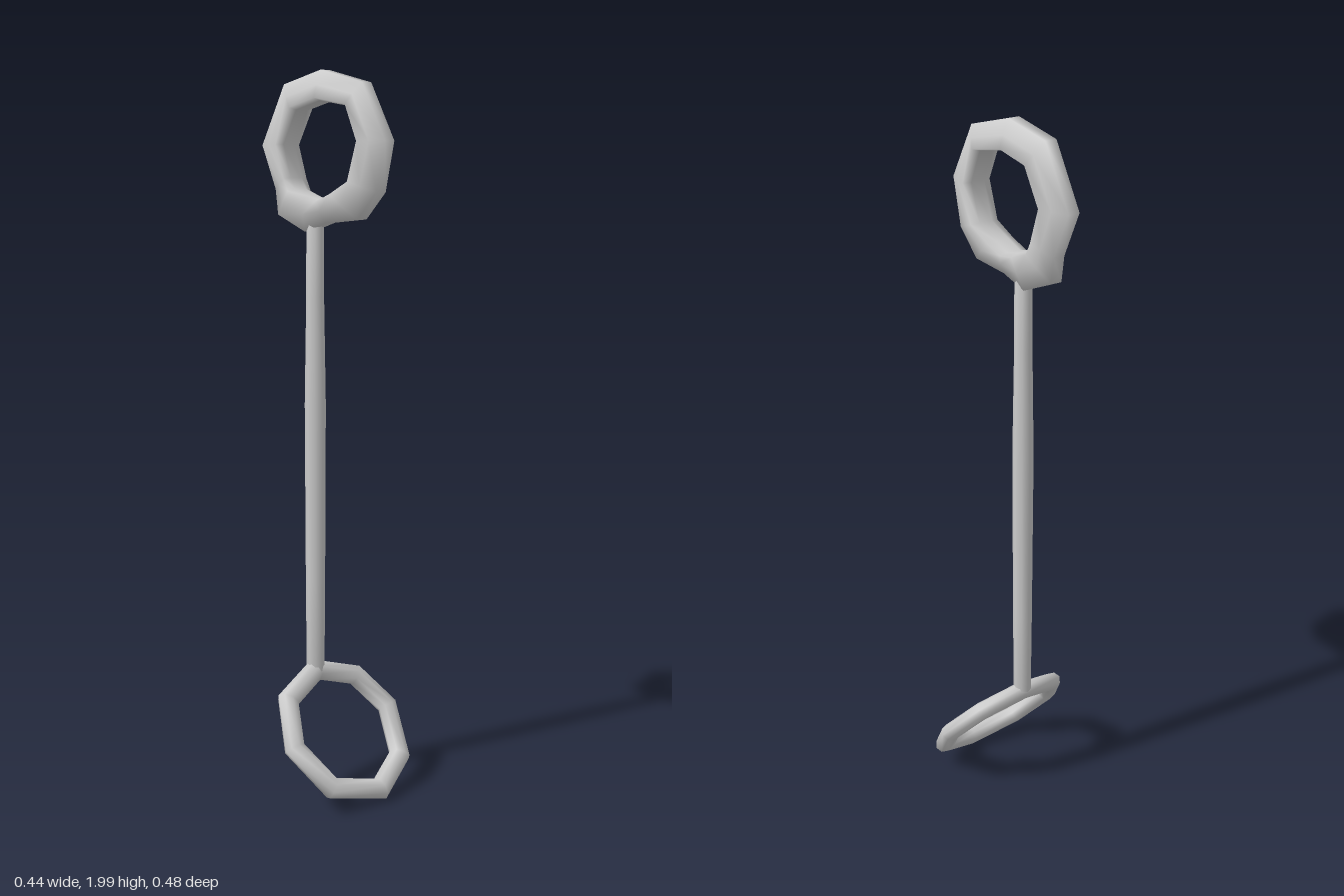
import * as THREE from 'three';

const material = new THREE.MeshStandardMaterial({ color: 0xcccccc });

// Closed band in the XY plane: pairs of outer and inner points (counter-clockwise)
// joined by a section of [share of the way inward, offset along z].
function ringGeometry(outer, inner, section) {
  const n = outer.length, m = section.length, pos = [], index = [];
  for (let i = 0; i < n; i++) {
    for (const [t, w] of section) {
      pos.push(
        THREE.MathUtils.lerp(outer[i][0], inner[i][0], t),
        THREE.MathUtils.lerp(outer[i][1], inner[i][1], t), w);
    }
  }
  for (let i = 0; i < n; i++) {
    for (let j = 0; j < m; j++) {
      const i2 = (i + 1) % n, j2 = (j + 1) % m;
      const a = i * m + j, b = i2 * m + j, c = i2 * m + j2, d = i * m + j2;
      index.push(a, b, c, a, c, d);
    }
  }
  const g = new THREE.BufferGeometry();
  g.setAttribute('position', new THREE.Float32BufferAttribute(pos, 3));
  g.setIndex(index);
  g.computeVertexNormals();
  return g;
}

function addMesh(group, name, geometry) {
  const mesh = new THREE.Mesh(geometry, material);
  mesh.name = name;
  group.add(mesh);
  return mesh;
}

export function createModel() {
  const group = new THREE.Group();
  group.name = 'ringedRod';

  // Upright ring at the top: uneven outline, wide inside and narrow at the rim
  const outer = [[0.24, 1.81], [0.155, 1.96], [0, 2], [-0.148, 1.97], [-0.24, 1.81], [-0.185, 1.69],
    [-0.175, 1.62], [-0.065, 1.575], [0.02, 1.6], [0.14, 1.61], [0.21, 1.68]];
  const inner = [[0.154, 1.81], [0.115, 1.9], [0, 1.92], [-0.095, 1.9], [-0.147, 1.81], [-0.118, 1.72],
    [-0.1, 1.69], [-0.045, 1.67], [0.0, 1.66], [0.05, 1.68], [0.12, 1.71]];
  const trapezoid = [[0, -0.017], [0, 0.017], [0.5, 0.034], [0.92, 0.043], [1, 0.02],
    [1, -0.02], [0.92, -0.043], [0.5, -0.034]];
  addMesh(group, 'topRing', ringGeometry(outer, inner, trapezoid)).rotation.y = -Math.PI / 2;

  // Slim shaft, slightly thicker at mid height
  const profile = [[0, 0.33], [0.027, 0.33], [0.029, 0.6], [0.031, 1.1], [0.026, 1.4], [0.025, 1.63], [0, 1.63]]
    .map(([r, y]) => new THREE.Vector2(r, y));
  const shaft = addMesh(group, 'shaft', new THREE.LatheGeometry(profile, 8));
  shaft.scale.x = 0.9;
  shaft.position.z = -0.042;

  // Tilted eight-cornered ring at the bottom, with a slightly flattened round section
  const angles = [8, 48, 90, 137, 181, 227, 278, 321].map(THREE.MathUtils.degToRad);
  const circle = r => angles.map(a => [r * Math.cos(a), r * Math.sin(a)]);
  const round = Array.from({ length: 8 }, (_, k) => {
    const a = k * Math.PI / 4;
    return [(1 - Math.cos(a)) / 2, 0.026 * Math.sin(a)];
  });
  const bottomRing = addMesh(group, 'bottomRing', ringGeometry(circle(0.222), circle(0.158), round));
  bottomRing.rotation.x = -0.68;
  bottomRing.position.set(0, 0.182, 0.078);

  return group;
}
